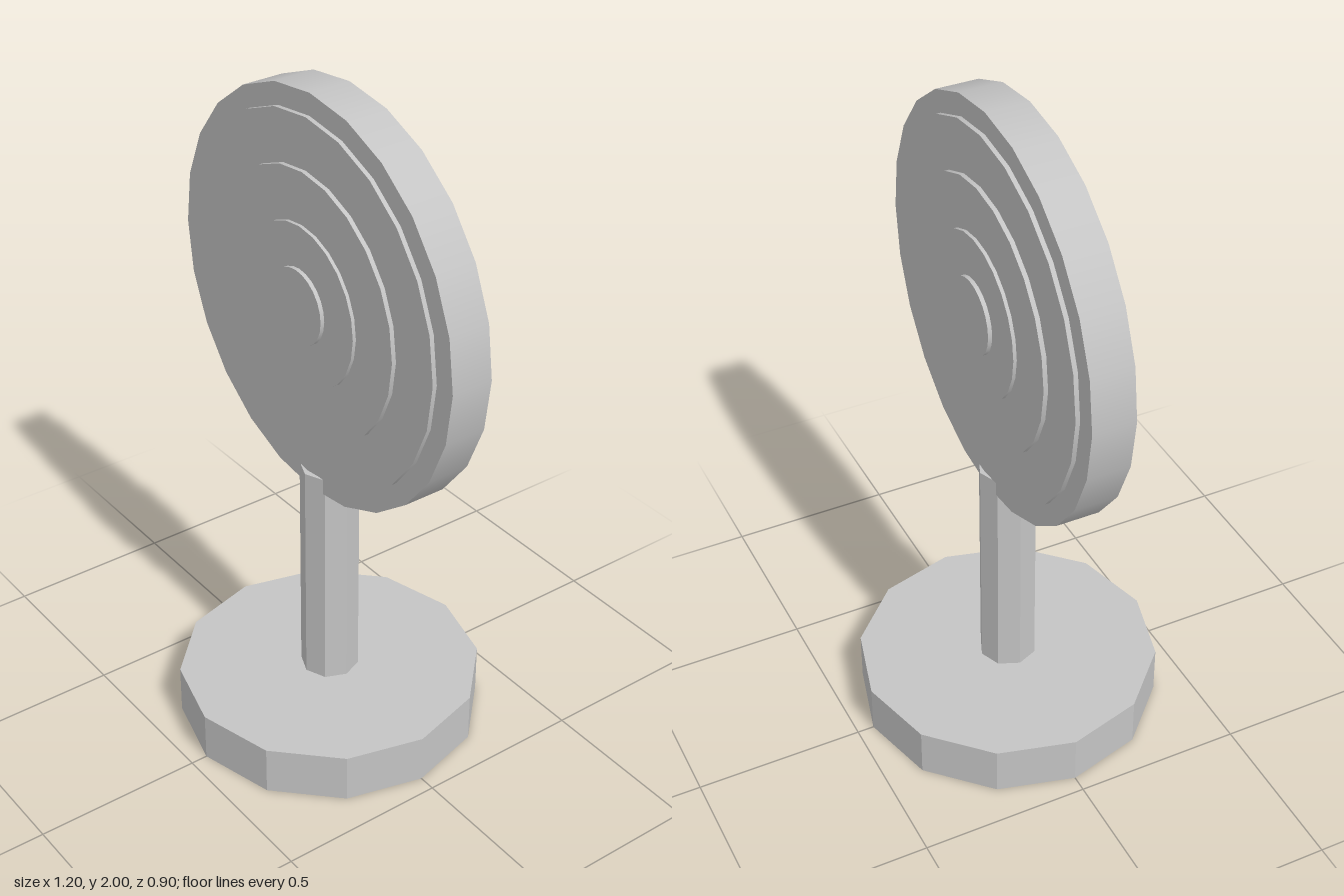
import * as THREE from 'three';

const grey = new THREE.MeshStandardMaterial({ color: 0xc4c4c4 });
grey.name = 'plain grey';

function addPart(group, name, geometry, y) {
  const mesh = new THREE.Mesh(geometry, grey);
  mesh.name = name;
  mesh.position.y = y;
  group.add(mesh);
}

// Upright faceted prism with hard edges between its sides
function prism(radius, height, sides) {
  const geometry = new THREE.CylinderGeometry(radius, radius, height, sides).toNonIndexed();
  geometry.computeVertexNormals();
  return geometry;
}

// Smooth-sided disc whose flat faces point along +z and -z
function disc(radius, depth) {
  return new THREE.CylinderGeometry(radius, radius, depth, 24).rotateX(Math.PI / 2);
}

export function createModel() {
  const model = new THREE.Group();
  model.name = 'targetOnStand';

  // Stand
  addPart(model, 'base', prism(0.45, 0.15, 12), 0.075);
  addPart(model, 'post', prism(0.086, 0.705, 8), 0.5025);

  // Target: ever smaller, thicker discs make raised rings on both faces
  const target = new THREE.Group();
  target.name = 'target';
  target.position.y = 1.4;
  const discs = [
    ['targetBody', 0.6, 0.126],
    ['outerRing', 0.537, 0.152],
    ['middleRing', 0.388, 0.178],
    ['innerRing', 0.236, 0.198],
    ['bullseye', 0.111, 0.222],
  ];
  for (const [name, radius, depth] of discs) addPart(target, name, disc(radius, depth), 0);
  model.add(target);

  return model;
}
